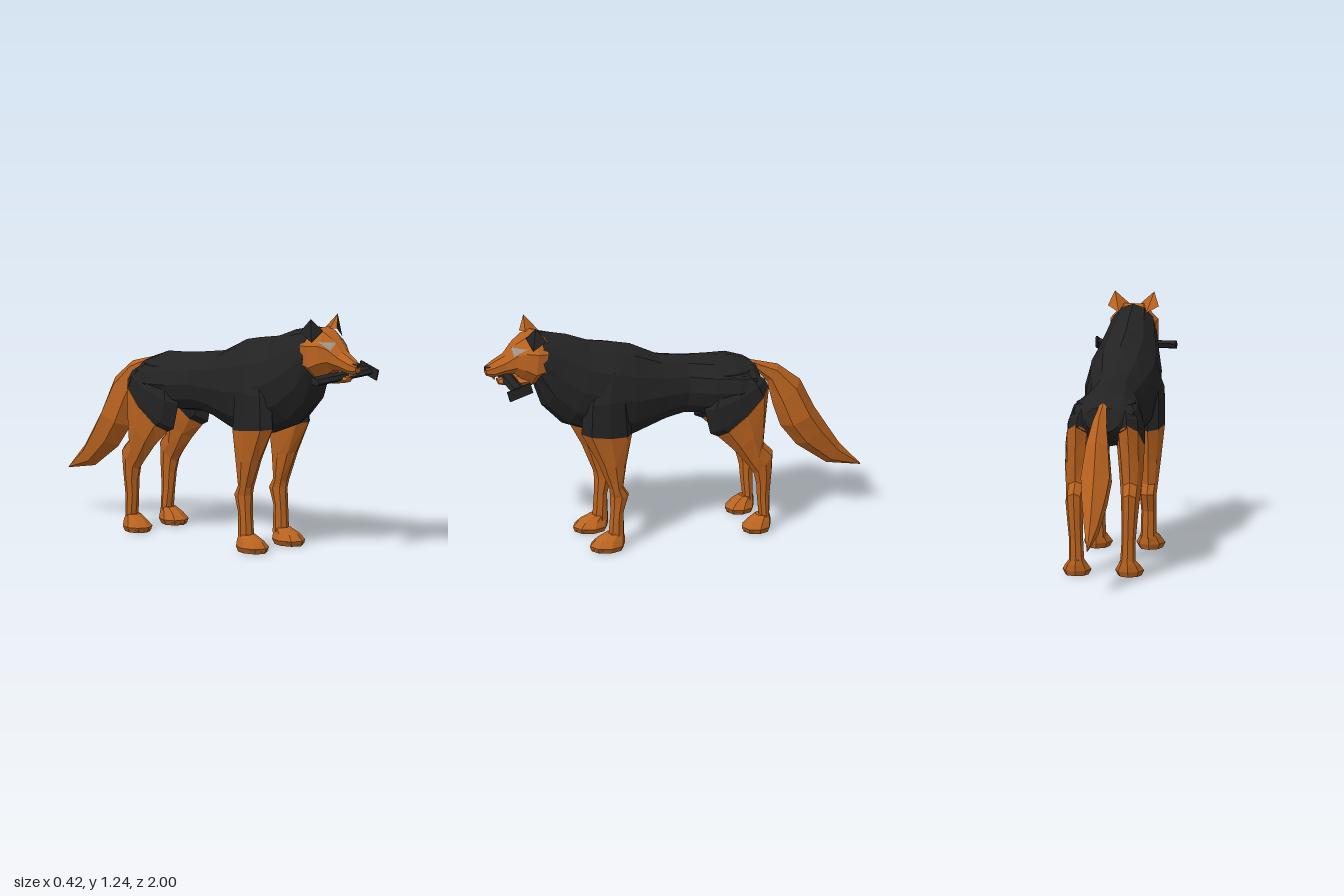
import * as THREE from 'three';

const mat = (name, color) => Object.assign(new THREE.MeshStandardMaterial({ color }), { name });
const V = (x, y, z) => new THREE.Vector3(x, y, z);

// Faceted mesh from a list of triangles
function facets(name, tris, material) {
  const g = new THREE.BufferGeometry().setFromPoints(tris.flat());
  g.computeVertexNormals();
  const m = new THREE.Mesh(g, material);
  m.name = name;
  return m;
}

// Closed loft. Each ring is [zA, yA, zB, yB, x0, x1]: an n-gon running from edge A to edge B.
// flat = true puts a flat side, not a corner, at A and B. side = -1 mirrors in x.
function loft(name, rings, material, { n = 8, flat = false, side = 1 } = {}) {
  const k = flat ? 1 / Math.cos(Math.PI / n) : 1;
  const pts = rings.map(([zA, yA, zB, yB, x0, x1]) => Array.from({ length: n }, (_, i) => {
    const a = ((i + (flat ? 0.5 : 0)) / n) * Math.PI * 2;
    const t = (1 - Math.cos(a) * k) / 2;
    const x = (x0 + x1) / 2 + ((x1 - x0) / 2) * Math.sin(a) * k;
    return V(x * side, yA + (yB - yA) * t, zA + (zB - zA) * t);
  }));
  const tris = [];
  const last = pts.length - 1;
  for (let i = 0; i < n; i++) {
    const h = (i + 1) % n;
    for (let j = 0; j < last; j++) {
      const [a, b, c, d] = [pts[j][i], pts[j][h], pts[j + 1][i], pts[j + 1][h]];
      tris.push([a, b, c], [b, d, c]);
    }
    if (i > 0 && i < n - 1) {
      tris.push([pts[0][0], pts[0][h], pts[0][i]], [pts[last][0], pts[last][i], pts[last][h]]);
    }
  }
  // Turn the solid outward if its volume comes out negative
  const vol = tris.reduce((s, [a, b, c]) => s + a.dot(b.clone().cross(c)), 0);
  if (vol < 0) tris.forEach((t) => t.reverse());
  return facets(name, tris, material);
}

// Symmetric ring list: [zTop, yTop, zBottom, yBottom, halfWidth]
const sym = (rows) => rows.map(([a, b, c, d, w]) => [a, b, c, d, -w, w]);

// Triangle laid on the front of a surface
function decal(name, corners, target, material) {
  const ray = new THREE.Raycaster();
  const N = 5;
  const at = (i, j) => {
    const w = [1 - (i + j) / N, i / N, j / N];
    const x = corners.reduce((s, c, q) => s + c[0] * w[q], 0);
    const y = corners.reduce((s, c, q) => s + c[1] * w[q], 0);
    ray.set(V(x, y, 3), V(0, 0, -1));
    const hit = ray.intersectObject(target)[0];
    return V(x, y, (hit ? hit.point.z : 0.82) + 0.005);
  };
  const tris = [];
  for (let i = 0; i < N; i++) {
    for (let j = 0; j < N - i; j++) {
      tris.push([at(i, j), at(i + 1, j), at(i, j + 1)]);
      if (i + j < N - 1) tris.push([at(i + 1, j), at(i + 1, j + 1), at(i, j + 1)]);
    }
  }
  tris.forEach((t) => {
    const nz = t[1].clone().sub(t[0]).cross(t[2].clone().sub(t[0])).z;
    if (nz < 0) t.reverse();
  });
  return facets(name, tris, material);
}

export function createModel() {
  const dog = new THREE.Group();
  dog.name = 'dog';
  const tan = mat('tan fur', 0xb8621f);
  const black = mat('black fur', 0x232323);
  const grey = mat('pale grey', 0x9a958e);

  // Neck, chest, back and rump
  dog.add(loft('body', sym([
    [0.71, 1.19, 0.75, 0.93, 0.117],
    [0.57, 1.155, 0.70, 0.785, 0.142],
    [0.45, 1.105, 0.59, 0.67, 0.172],
    [0.32, 1.08, 0.43, 0.605, 0.188],
    [0.23, 1.058, 0.26, 0.56, 0.178],
    [0.08, 0.98, 0.06, 0.63, 0.145],
    [-0.06, 0.955, -0.04, 0.65, 0.13],
    [-0.20, 0.935, -0.15, 0.64, 0.168],
    [-0.31, 0.925, -0.30, 0.64, 0.188],
    [-0.40, 0.89, -0.40, 0.68, 0.17],
    [-0.43, 0.87, -0.46, 0.74, 0.09],
  ]), black, { n: 12 }));

  // Head, jaw and nose
  const head = loft('head', sym([
    [0.69, 1.17, 0.72, 0.94, 0.115],
    [0.745, 1.187, 0.77, 0.92, 0.122],
    [0.80, 1.175, 0.82, 0.96, 0.10],
    [0.845, 1.145, 0.85, 0.985, 0.075],
    [0.90, 1.085, 0.90, 0.985, 0.048],
    [0.96, 1.055, 0.96, 0.972, 0.035],
    [1.0, 1.03, 0.995, 0.985, 0.02],
  ]), tan, { flat: true });
  dog.add(head);
  dog.add(loft('lowerJaw', sym([
    [0.77, 0.98, 0.77, 0.915, 0.06],
    [0.86, 0.96, 0.86, 0.917, 0.045],
    [0.935, 0.955, 0.93, 0.93, 0.022],
  ]), tan, { n: 6, flat: true }));
  dog.add(loft('nose', sym([
    [0.975, 1.045, 0.985, 1.005, 0.026],
    [1.0, 1.034, 1.0, 1.01, 0.014],
  ]), black, { n: 6 }));
  const teeth = new THREE.Mesh(new THREE.BoxGeometry(0.05, 0.014, 0.008), grey);
  teeth.name = 'teeth';
  teeth.position.set(0, 0.973, 0.958);
  dog.add(teeth);

  // Tail
  dog.add(loft('tail', sym([
    [-0.41, 0.885, -0.42, 0.85, 0.02],
    [-0.56, 0.84, -0.505, 0.75, 0.04],
    [-0.68, 0.74, -0.535, 0.62, 0.065],
    [-0.755, 0.58, -0.575, 0.50, 0.085],
    [-0.81, 0.49, -0.66, 0.385, 0.07],
    [-0.89, 0.36, -0.82, 0.265, 0.04],
    [-1.0, 0.236, -1.0, 0.23, 0.003],
  ]), tan, { n: 6 }));

  for (const side of [1, -1]) {
    const s = side > 0 ? 'left' : 'right';
    const part = (name, rings, m, n = 8) => dog.add(loft(s + name, rings, m, { n, side }));

    // Front leg
    part('Shoulder', [
      [0.43, 0.97, 0.30, 0.97, 0.07, 0.16],
      [0.52, 0.82, 0.28, 0.83, 0.06, 0.203],
      [0.53, 0.65, 0.26, 0.62, 0.065, 0.205],
    ], black);
    part('FrontLeg', [
      [0.53, 0.65, 0.26, 0.62, 0.065, 0.205],
      [0.44, 0.48, 0.29, 0.46, 0.078, 0.19],
      [0.38, 0.33, 0.307, 0.34, 0.085, 0.176],
      [0.375, 0.29, 0.275, 0.29, 0.085, 0.172],
      [0.375, 0.20, 0.305, 0.20, 0.092, 0.17],
      [0.385, 0.06, 0.30, 0.06, 0.088, 0.17],
    ], tan);

    // Hind leg
    part('Thigh', [
      [-0.20, 0.87, -0.38, 0.87, 0.06, 0.15],
      [-0.13, 0.69, -0.45, 0.82, 0.05, 0.197],
      [-0.16, 0.56, -0.47, 0.78, 0.055, 0.20],
      [-0.21, 0.535, -0.47, 0.77, 0.06, 0.20],
    ], black);
    part('HindLeg', [
      [-0.20, 0.54, -0.472, 0.785, 0.06, 0.202],
      [-0.28, 0.46, -0.452, 0.62, 0.075, 0.20],
      [-0.36, 0.36, -0.435, 0.485, 0.088, 0.19],
      [-0.385, 0.32, -0.487, 0.43, 0.095, 0.188],
      [-0.40, 0.26, -0.483, 0.33, 0.098, 0.18],
      [-0.405, 0.19, -0.472, 0.19, 0.098, 0.17],
      [-0.42, 0.05, -0.47, 0.05, 0.09, 0.17],
    ], tan);

    // Paws with claws
    for (const [name, toe, heel] of [['FrontPaw', 0.485, 0.298], ['HindPaw', -0.325, -0.478]]) {
      const len = toe - heel;
      part(name, [
        [toe - 0.01, 0.003, heel + 0.01, 0.003, 0.075, 0.195],
        [toe, 0.03, heel, 0.03, 0.06, 0.208],
        [toe - 0.03, 0.06, heel, 0.06, 0.078, 0.19],
        [toe - len * 0.48, 0.09, heel + 0.005, 0.085, 0.092, 0.168],
      ], tan);
      for (const off of [-0.05, -0.018, 0.018, 0.05]) {
        const claw = new THREE.Mesh(new THREE.ConeGeometry(0.011, 0.035, 4).toNonIndexed(), grey);
        claw.geometry.computeVertexNormals();
        claw.name = s + name + 'Claw';
        claw.rotation.x = Math.PI * 0.62;
        claw.position.set(side * (0.134 + off), 0.018, toe - 0.012 - Math.abs(off) * 0.6);
        dog.add(claw);
      }
    }

    // Ear: tan back and inner face, black front and outer face
    const p = (x, y, z) => V(x * side, y, z);
    const tip = p(0.1, 1.247, 0.762);
    const [inner, front, low, outer, back] = [p(0.03, 1.183, 0.775), p(0.053, 1.182, 0.80),
      p(0.115, 1.13, 0.78), p(0.13, 1.18, 0.715), p(0.07, 1.15, 0.68)];
    const mid = p(0.085, 1.185, 0.75);
    const outward = (tris) => tris.map(([a, b, c]) => {
      const nrm = b.clone().sub(a).cross(c.clone().sub(a));
      return nrm.dot(a.clone().sub(mid)) < 0 ? [a, c, b] : [a, b, c];
    });
    dog.add(facets(s + 'EarFront', outward([[tip, front, low], [tip, low, outer]]), black));
    dog.add(facets(s + 'EarBack', outward([[tip, inner, front], [tip, outer, back], [tip, back, inner]]), tan));

    // Eye
    dog.add(decal(s + 'Eye', [[0.087, 1.132], [0.022, 1.13], [0.065, 1.092]]
      .map(([x, y]) => [x * side, y]), head, grey));
  }

  // Handle carried in the mouth, with a thin end plate
  const handle = new THREE.Group();
  handle.name = 'carriedHandle';
  handle.position.set(0, 0.955, 0.88);
  handle.rotation.x = 0.28;
  const gripGeo = new THREE.CylinderGeometry(0.034, 0.034, 0.395, 6).toNonIndexed();
  gripGeo.rotateZ(Math.PI / 2).scale(1, 0.62, 1).computeVertexNormals();
  const grip = new THREE.Mesh(gripGeo, black);
  grip.name = 'grip';
  const plate = new THREE.Mesh(new THREE.BoxGeometry(0.008, 0.056, 0.128), black);
  plate.name = 'endPlate';
  plate.position.x = 0.203;
  handle.add(grip, plate);
  dog.add(handle);

  return dog;
}
